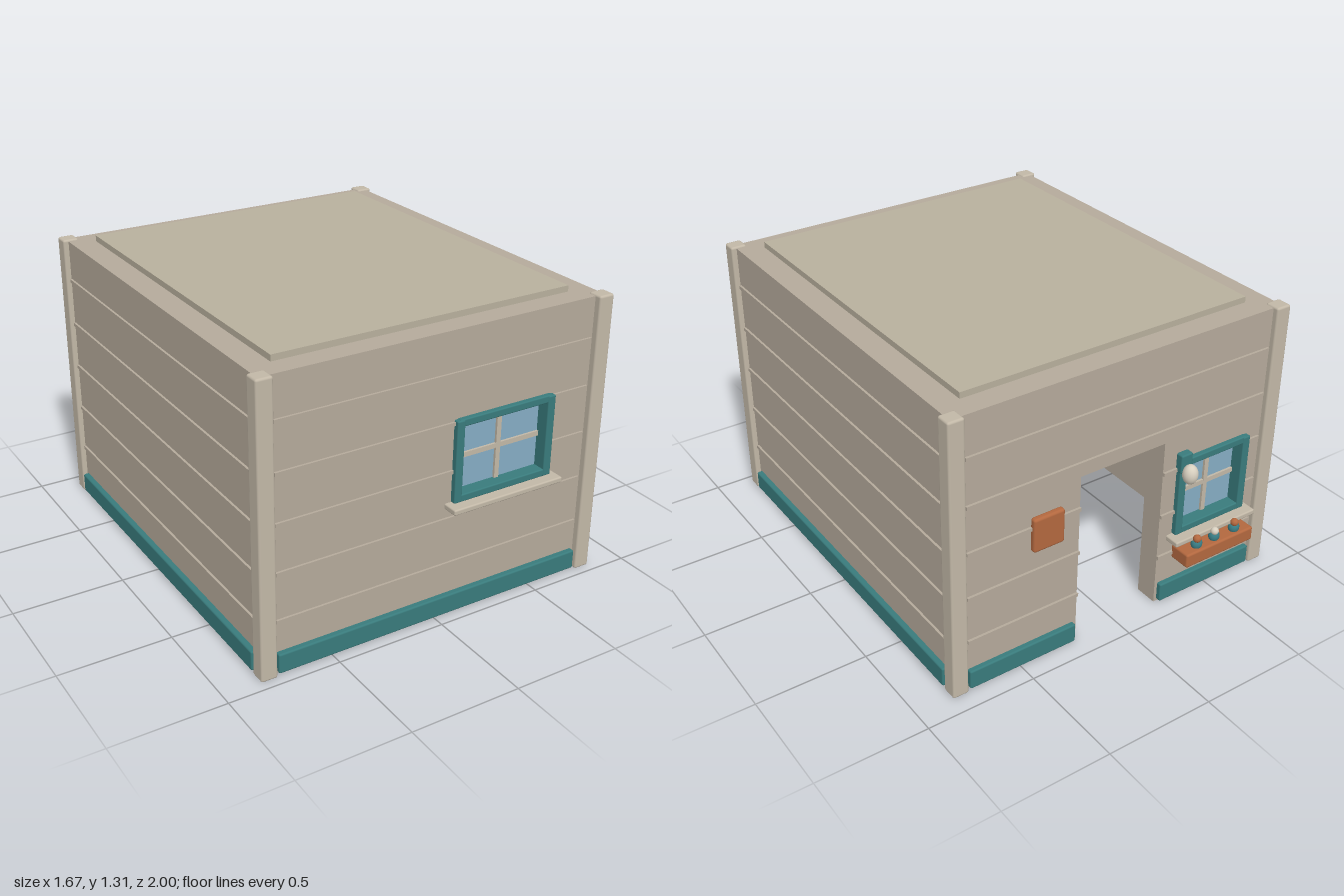
import * as THREE from 'three';
import { RoundedBoxGeometry } from 'three/addons/geometries/RoundedBoxGeometry.js';

const mat = (name, color) => {
  const m = new THREE.MeshStandardMaterial({ color });
  m.name = name;
  return m;
};

export function createModel() {
  const wallMat = mat('wall beige', 0xb5aa9b);
  const roofMat = mat('roof beige', 0xb8b09d);
  const trimMat = mat('pale trim', 0xc2b8a7);
  const tealMat = mat('teal paint', 0x397b7c);
  const glassMat = mat('window glass', 0x86adc4);
  const woodMat = mat('terracotta', 0xb3683f);
  const creamMat = mat('cream', 0xd8d0c0);
  const leafMat = mat('leaf teal', 0x3b8088);

  const model = new THREE.Group();
  model.name = 'house';

  // Box given by its low and high corners, rounded when r > 0
  const box = (name, m, x0, x1, y0, y1, z0, z1, r = 0, parent = model) => {
    const s = [x1 - x0, y1 - y0, z1 - z0];
    const g = r ? new RoundedBoxGeometry(...s, 2, r) : new THREE.BoxGeometry(...s);
    const mesh = new THREE.Mesh(g, m);
    mesh.position.set((x0 + x1) / 2, (y0 + y1) / 2, (z0 + z1) / 2);
    mesh.name = name;
    parent.add(mesh);
    return mesh;
  };
  const ball = (name, m, x, y, z, rx, ry = rx, rz = rx) => {
    const mesh = new THREE.Mesh(new THREE.SphereGeometry(1, 20, 14), m);
    mesh.scale.set(rx, ry, rz);
    mesh.position.set(x, y, z);
    mesh.name = name;
    model.add(mesh);
  };

  const top = 1.285;

  // Front wall, in panels around the window opening
  box('frontWallRight', wallMat, -0.81, 0.105, 0, top, 0.83, 0.93);
  box('frontWallLeft', wallMat, 0.535, 0.81, 0, top, 0.83, 0.93);
  box('frontWallBelowWindow', wallMat, 0.105, 0.535, 0, 0.55, 0.83, 0.93);
  box('frontWallAboveWindow', wallMat, 0.105, 0.535, 0.875, top, 0.83, 0.93);

  // Back wall, in panels around the doorway and window
  box('backWallLeft', wallMat, 0.21, 0.81, 0, top, -0.895, -0.79);
  box('backWallOverDoor', wallMat, -0.22, 0.21, 0.82, top, -0.895, -0.79);
  box('backWallPier', wallMat, -0.33, -0.22, 0, top, -0.895, -0.79);
  box('backWallBelowWindow', wallMat, -0.65, -0.33, 0, 0.36, -0.895, -0.79);
  box('backWallAboveWindow', wallMat, -0.65, -0.33, 0.685, top, -0.895, -0.79);
  box('backWallRight', wallMat, -0.81, -0.65, 0, top, -0.895, -0.79);

  // Side walls, roof slab and corner posts
  for (const s of [-1, 1]) {
    const side = s > 0 ? 'left' : 'right';
    box(side + 'Wall', wallMat, s * 0.755 - 0.055, s * 0.755 + 0.055, 0, top, -0.79, 0.83);
    box(side + 'Baseboard', tealMat, s * 0.815 - 0.02, s * 0.815 + 0.02, 0.008, 0.098, -0.84, 0.88, 0.008);
    for (const [z, end] of [[0.925, 'Front'], [-0.885, 'Back']]) {
      box(side + end + 'Post', trimMat, s * 0.797 - 0.037, s * 0.797 + 0.037, 0, 1.292, z - 0.036, z + 0.036, 0.01);
    }
  }
  box('roof', roofMat, -0.70, 0.70, 1.25, 1.312, -0.79, 0.83);

  // Baseboards front and back
  box('frontBaseboard', tealMat, -0.75, 0.75, 0.008, 0.098, 0.915, 0.955, 0.008);
  box('backBaseboardLeft', tealMat, 0.225, 0.75, 0.008, 0.098, -0.918, -0.88, 0.008);
  box('backBaseboardRight', tealMat, -0.75, -0.235, 0.008, 0.098, -0.918, -0.88, 0.008);

  // Horizontal siding battens, broken at the openings
  for (const y of [0.24, 0.455, 0.67, 0.885, 1.1]) {
    const a = y - 0.008, b = y + 0.008;
    const front = y > 0.53 && y < 0.9 ? [[-0.75, 0.08], [0.56, 0.75]] : [[-0.75, 0.75]];
    for (const [x0, x1] of front) box('frontBatten', wallMat, x0, x1, a, b, 0.92, 0.94);
    let back = [[-0.75, 0.75]];
    if (y < 0.82) back = [[0.21, 0.75], [-0.75, -0.22]];
    if (y > 0.35 && y < 0.7) back = [[0.21, 0.75], [-0.31, -0.22], [-0.75, -0.67]];
    for (const [x0, x1] of back) box('backBatten', wallMat, x0, x1, a, b, -0.906, -0.885);
    for (const s of [-1, 1]) box('sideBatten', wallMat, s * 0.81 - 0.01, s * 0.81 + 0.01, a, b, -0.84, 0.88);
  }

  // Window: frame, glass, glazing bars and sill; local +z faces outwards
  const makeWindow = (name, cx, cy, w, h, faceZ, flip) => {
    const g = new THREE.Group();
    g.name = name;
    const W = w / 2, H = h / 2, t = 0.035;
    for (const s of [-1, 1]) {
      box('frameSide', tealMat, s * W - (s > 0 ? 0.003 : t), s * W + (s > 0 ? t : 0.003), -H - 0.02, H + 0.025, -0.115, 0.025, 0.006, g);
      box('frameRail', tealMat, -W - 0.02, W + 0.02, s * H - (s > 0 ? 0.006 : 0.022), s * H + (s > 0 ? 0.028 : 0.012), -0.113, 0.022, 0.006, g);
    }
    box('glass', glassMat, -W, W, -H, H, -0.046, -0.036, 0, g);
    box('verticalBar', trimMat, -0.011, 0.011, -H, H, -0.055, -0.025, 0, g);
    box('horizontalBar', trimMat, -W, W, -0.011, 0.011, -0.054, -0.026, 0, g);
    box('sill', trimMat, -W - 0.065, W + 0.065, -H - 0.046, -H - 0.02, -0.01, 0.07, 0.007, g);
    g.position.set(cx, cy, faceZ);
    if (flip) g.rotation.y = Math.PI;
    model.add(g);
  };
  makeWindow('frontWindow', 0.32, 0.712, 0.43, 0.325, 0.93, false);
  makeWindow('backWindow', -0.49, 0.522, 0.32, 0.325, -0.895, true);

  // Planter with three flowers
  box('planter', woodMat, -0.68, -0.30, 0.212, 0.28, -1.0, -0.895, 0.01);
  [[-0.595, woodMat], [-0.48, creamMat], [-0.38, woodMat]].forEach(([x, m]) => {
    ball('leaves', leafMat, x, 0.295, -0.965, 0.026, 0.03, 0.024);
    ball('flower', m, x + 0.01, 0.33, -0.977, 0.018);
  });

  // Wall lamp and plaque beside the doorway
  box('lampBracket', tealMat, -0.35, -0.29, 0.66, 0.75, -0.93, -0.89, 0.008);
  ball('lampGlobe', creamMat, -0.32, 0.665, -0.952, 0.034, 0.046, 0.034);
  box('plaque', woodMat, 0.30, 0.45, 0.56, 0.72, -0.922, -0.89, 0.012);

  return model;
}
